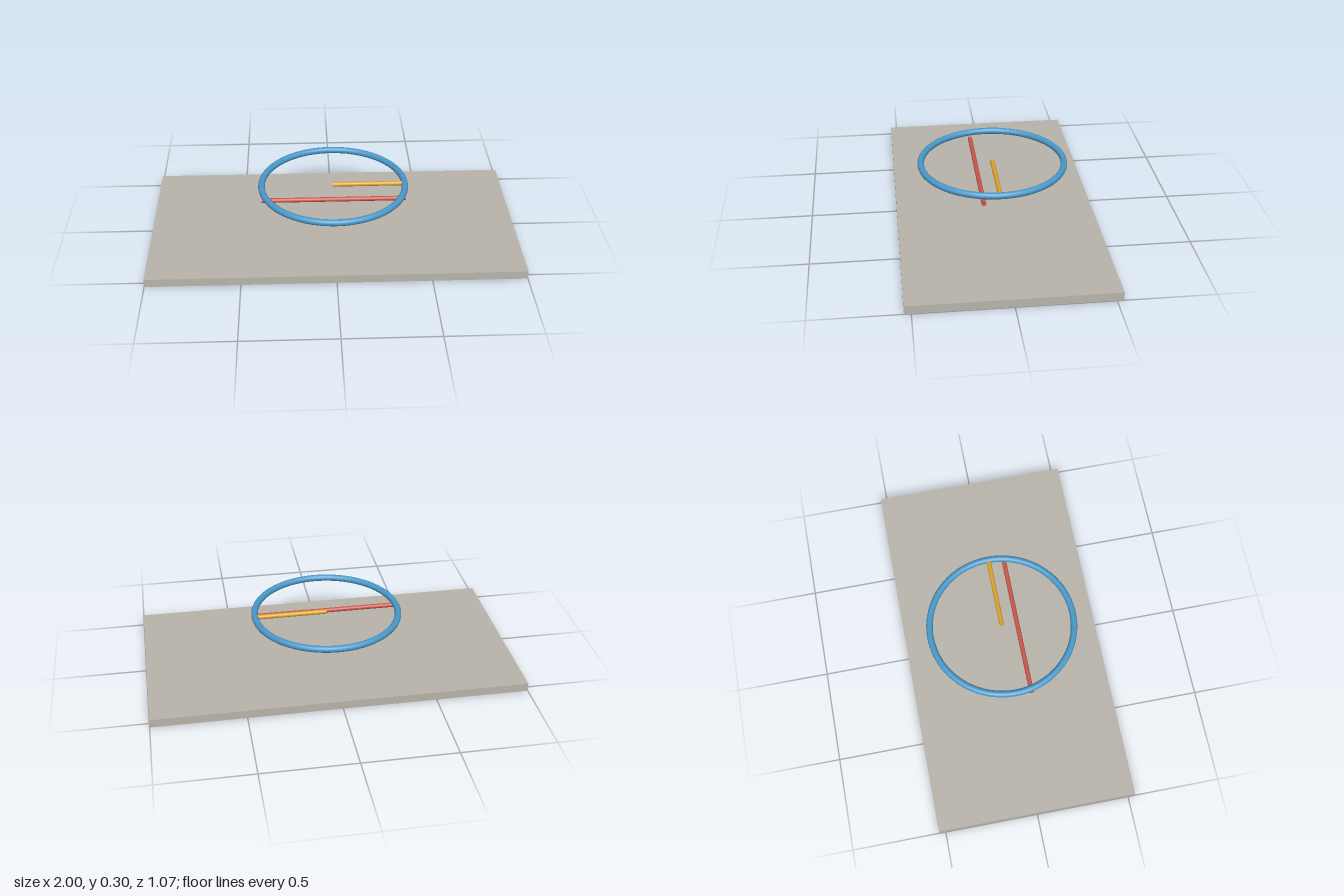
import * as THREE from 'three';

const mat = (name, color) => {
  const m = new THREE.MeshStandardMaterial({ color });
  m.name = name;
  return m;
};

export function createModel() {
  const grey = mat('warm grey', 0xb8b4aa);
  const blue = mat('blue', 0x4a98c9);
  const red = mat('red', 0xc8574a);
  const yellow = mat('yellow', 0xd9a32e);

  const RING_RADIUS = 0.393, RING_Y = 0.28, ROD_RADIUS = 0.0125, BASE_HEIGHT = 0.045;
  const model = new THREE.Group();
  model.name = 'ringAndRods';

  const add = (name, geometry, material, x, y, z) => {
    const mesh = new THREE.Mesh(geometry, material);
    mesh.name = name;
    mesh.position.set(x, y, z);
    model.add(mesh);
  };

  // Horizontal rod running along x between two ends
  const addRod = (name, material, x0, x1, y, z) => {
    const geometry = new THREE.CylinderGeometry(ROD_RADIUS, ROD_RADIUS, x1 - x0, 32);
    geometry.rotateZ(Math.PI / 2);
    add(name, geometry, material, (x0 + x1) / 2, y, z);
  };

  // Flat slab
  add('basePlate', new THREE.BoxGeometry(2, BASE_HEIGHT, 1.07), grey, 0, BASE_HEIGHT / 2, 0);

  // Floating horizontal ring
  const ring = new THREE.TorusGeometry(RING_RADIUS, 0.018, 24, 96);
  ring.rotateX(Math.PI / 2);
  add('ring', ring, blue, 0, RING_Y, 0);

  // Radius rod in the plane of the ring, and a chord-like rod just below it
  addRod('radiusRod', yellow, 0, RING_RADIUS, RING_Y, 0);
  addRod('crossRod', red, -RING_RADIUS, RING_RADIUS, 0.237, 0.087);

  return model;
}
